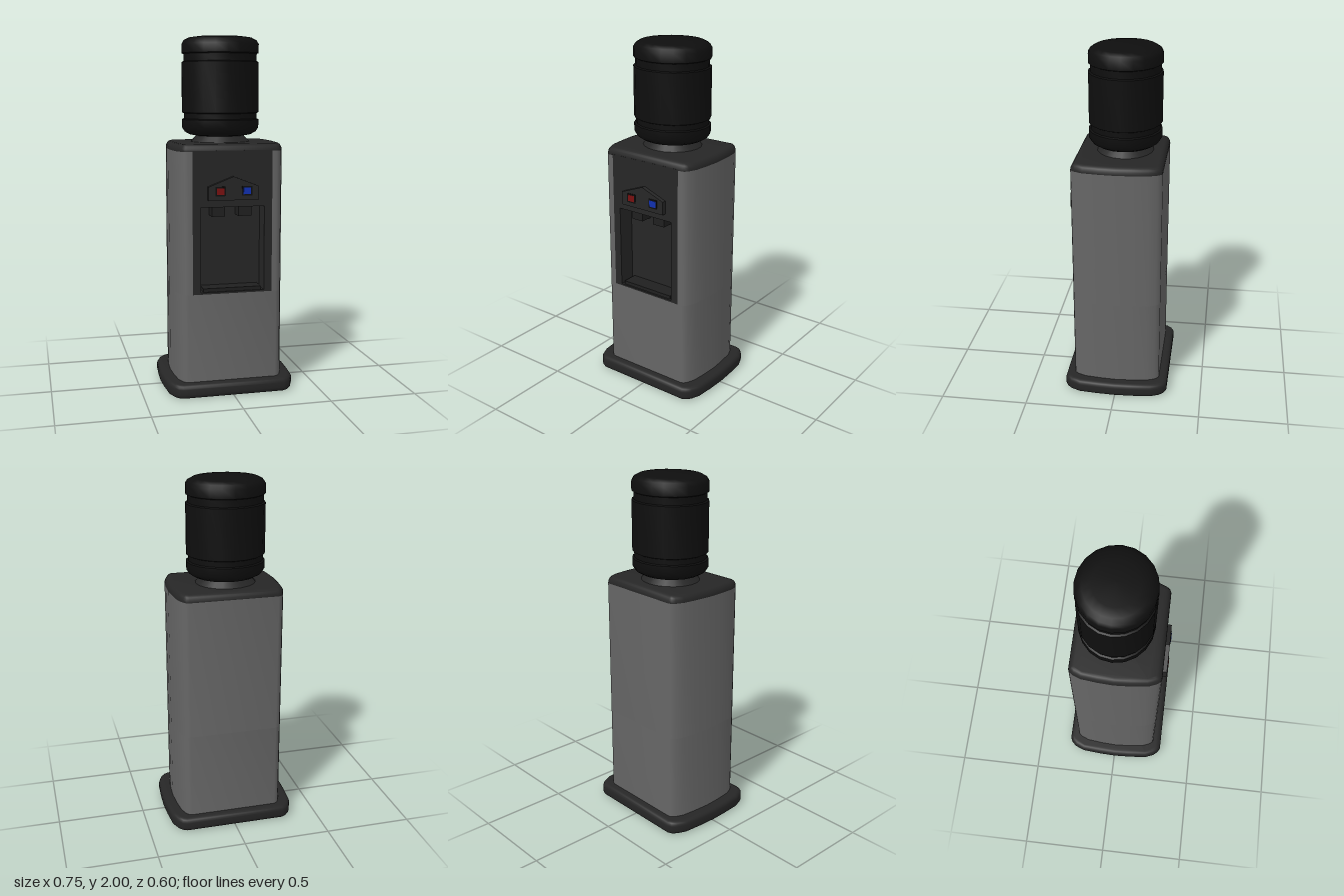
import * as THREE from 'three';
import { toCreasedNormals } from 'three/addons/utils/BufferGeometryUtils.js';

const paint = (color) => new THREE.MeshStandardMaterial({ color });
const grey = paint(0x666666), dark = paint(0x262626), darker = paint(0x1f1f1f), black = paint(0x0e0e0e);
const red = paint(0x7a1010), blue = paint(0x1030b0);

// Mirror a quarter outline (front middle to side middle) into a closed loop of [x, z]
function fullOutline(q) {
  const side = [...q, ...q.slice(0, -1).reverse().map(([x, z]) => [x, -z])];
  return [...side, ...side.slice().reverse().map(([x, z]) => [-x, z])];
}

const toShape = (pts) => new THREE.Shape(pts.map(([x, y]) => new THREE.Vector2(x, y)));

// Extrude a ground outline upwards from y0 to y1, with an optional rounded rim
function slab(pts, y0, y1, round = 0, rise = round) {
  const geo = new THREE.ExtrudeGeometry(toShape(pts.map(([x, z]) => [x, -z])), {
    depth: y1 - y0 - 2 * rise, bevelEnabled: round > 0, bevelSize: round,
    bevelOffset: -round, bevelThickness: rise, bevelSegments: 4,
  });
  geo.rotateX(-Math.PI / 2).translate(0, y0 + rise, 0);
  return toCreasedNormals(geo, 0.8);
}

export function createModel() {
  const model = new THREE.Group();
  model.name = 'waterDispenser';
  const add = (name, geo, mat, x = 0, y = 0, z = 0) => {
    const mesh = new THREE.Mesh(geo, mat);
    mesh.name = name;
    mesh.position.set(x, y, z);
    model.add(mesh);
    return mesh;
  };
  const box = (name, w, h, d, mat, x, y, z) => add(name, new THREE.BoxGeometry(w, h, d), mat, x, y, z);

  // Foot plate with bowed sides
  const foot = fullOutline([[0.29, 0.3], [0.315, 0.288], [0.338, 0.262], [0.36, 0.208], [0.369, 0.1], [0.373, 0]]);
  add('footPlate', slab(foot, 0, 0.08, 0.025), dark);

  // Cabinet: full lower part, upper part notched at the front for the fascia
  const cabinet = fullOutline([[0.25, 0.25], [0.265, 0.244], [0.28, 0.225], [0.298, 0.18], [0.308, 0.09], [0.313, 0]]);
  add('lowerCabinet', slab(cabinet, 0.07, 0.58), grey);
  const notch = [[-0.225, 0.25], [-0.225, 0.13], [0.225, 0.13], [0.225, 0.25]];
  add('upperCabinet', slab([...cabinet, ...notch], 0.58, 1.37), grey);
  add('topCap', slab(cabinet, 1.33, 1.41, 0.03, 0.04), dark);

  // Front fascia with the dispensing niche
  const fascia = toShape([[-0.225, 0.58], [0.225, 0.58], [0.225, 1.375], [-0.225, 1.375]]);
  fascia.holes.push(toShape([[-0.18, 0.59], [-0.18, 1.065], [0.18, 1.065], [0.18, 0.59]]));
  add('fascia', new THREE.ExtrudeGeometry(fascia, { depth: 0.11, bevelEnabled: false }), dark, 0, 0, 0.14);
  box('nicheBack', 0.44, 0.5, 0.02, dark, 0, 0.83, 0.14);
  box('dripTray', 0.33, 0.02, 0.09, darker, 0, 0.6, 0.195);

  // Control panel with pointed top
  const panel = toShape([[-0.142, 1.105], [0.142, 1.105], [0.142, 1.18], [0, 1.235], [-0.142, 1.18]]);
  add('controlPanel', new THREE.ExtrudeGeometry(panel, { depth: 0.025, bevelEnabled: false }), dark, 0, 0, 0.249);

  // Hot and cold buttons, each above its tap
  for (const [name, x, mat] of [['hot', -0.075, red], ['cold', 0.075, blue]]) {
    box(name + 'ButtonFrame', 0.058, 0.052, 0.006, black, x, 1.155, 0.274);
    box(name + 'Button', 0.042, 0.036, 0.006, mat, x, 1.155, 0.276);
    box(name + 'Tap', 0.075, 0.056, 0.075, darker, x, 1.038, 0.187);
  }

  // Bottle seat and ribbed bottle, slightly oval
  const seat = add('bottleSeat', new THREE.CylinderGeometry(0.12, 0.18, 0.06, 20), dark, -0.01, 1.43, -0.018);
  const profile = [
    [0, 1.44], [0.13, 1.442], [0.175, 1.45], [0.205, 1.467], [0.22, 1.49], [0.22, 1.535],
    [0.209, 1.54], [0.209, 1.57], [0.22, 1.575], [0.22, 1.855], [0.209, 1.86], [0.209, 1.9],
    [0.22, 1.905], [0.22, 1.955], [0.208, 1.975], [0.18, 1.99], [0.13, 1.997], [0, 2],
  ].map(([r, y]) => new THREE.Vector2(r, y));
  const bottle = add('bottle', toCreasedNormals(new THREE.LatheGeometry(profile, 20), 0.8), black, -0.01, 0, -0.018);
  seat.scale.z = bottle.scale.z = 0.93;

  return model;
}
